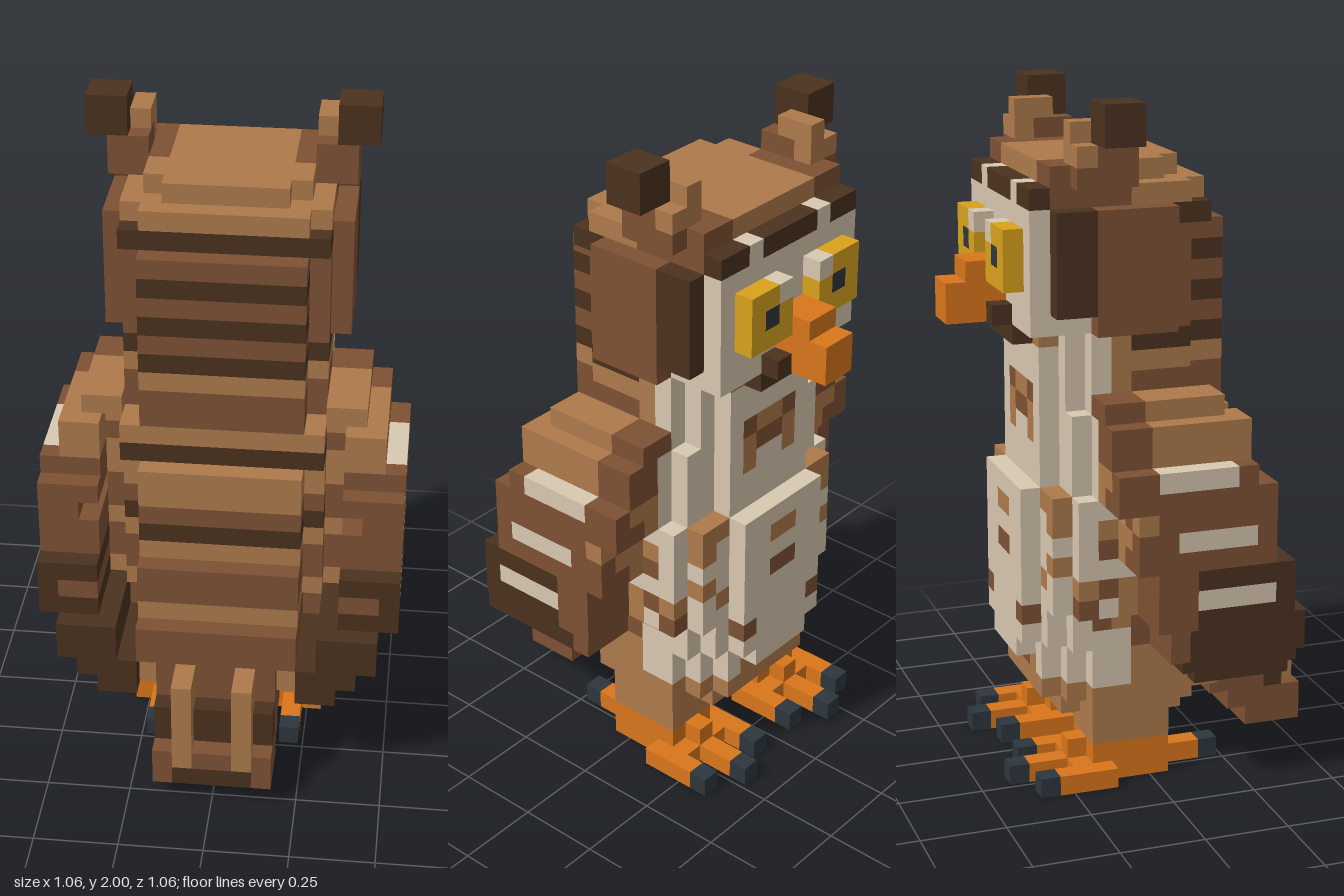
import * as THREE from 'three';

const U = 2 / 34; // size of one block

const COLORS = {
  brown: 0x7e5134, tan: 0xae7a4b, darkBrown: 0x4b321f, cream: 0xd8c8b0,
  yellow: 0xdaa21c, orange: 0xda761c, slate: 0x2d363e,
};
const LETTER = { b: 'brown', t: 'tan', d: 'darkBrown' };

// Plumage band for each block row, from row 0 upwards
const BANDS = 'tttttttbbtbbtdbttdtbbtdbdbdbdtt';
const band = y => LETTER[BANDS[y]];

// Repeatable speckle value from 0 to 1
function speckle(x, y, z) {
  let h = (x * 374761 + y * 668265 + z * 2147483 + 977) | 0;
  h = Math.imul(h ^ (h >>> 13), 1274126177);
  return ((h ^ (h >>> 16)) >>> 0) / 4294967296;
}

// Half of the bird is stored; cell x = 0 touches the middle and is mirrored later
const cells = new Map();
const key = (x, y, z) => `${x},${y},${z}`;
function put(part, color, x, y, z) {
  const c = typeof color === 'function' ? color(x, y, z) : color;
  cells.set(key(x, y, z), { part, color: c, x, y, z });
}
// Ends are exclusive
function box(part, color, x0, x1, y0, y1, z0, z1) {
  for (let x = x0; x < x1; x++)
    for (let y = y0; y < y1; y++)
      for (let z = z0; z < z1; z++) put(part, color, x, y, z);
}
// One row with a rounded-square outline; n sets how square it is
function layer(part, color, y, half, z0, z1, n) {
  const mid = (z0 + z1) / 2, r = (z1 - z0) / 2;
  for (let x = 0; x < half; x++)
    for (let z = z0; z < z1; z++) {
      const d = ((x + 0.5) / half) ** n + (Math.abs(z + 0.5 - mid) / r) ** n;
      if (d <= 1) put(part, color, x, y, z);
    }
}

function plumage(x, y, z) {
  const s = speckle(x, y, z);
  if (z < -2 && y > 4) return s < 0.08 ? 'brown' : s < 0.16 ? 'tan' : 'cream';
  if (z === -2 && y > 4) return s < 0.45 ? 'cream' : 'tan';
  const c = band(y);
  return c === 'darkBrown' && x > 4 ? 'brown' : c;
}

function wingColor(x, y, z) {
  if (x === 8) {
    // pale bars that step back down the wing
    if (y === 16 && z >= -1 && z < 3) return 'cream';
    if (y === 13 && z >= 0 && z < 4) return 'cream';
    if (y === 10 && z >= 1 && z < 5) return 'cream';
  }
  if (y >= 17) return z < -1 ? 'brown' : 'tan';
  if (y >= 12) return z < -1 && speckle(x, y, z) < 0.5 ? 'tan' : 'brown';
  if (y === 10 && x < 8) return 'brown';
  return z < 1 ? 'brown' : 'darkBrown';
}

function buildBody() {
  // [first row, last row, half width, front z, back z]
  const rows = [
    [3, 3, 4, -4, 3], [4, 4, 5, -5, 4], [5, 6, 5, -5, 6], [7, 8, 5, -6, 7],
    [9, 11, 6, -6, 6], [12, 14, 6, -6, 5], [15, 16, 6, -5, 5],
    [17, 18, 6, -5, 4], [19, 22, 5, -5, 4],
  ];
  for (const [a, b, half, z0, z1] of rows) {
    for (let y = a; y <= b; y++) layer('body', plumage, y, half, z0, Math.min(z1, 4), 2.5);
    // banded back
    box('back', plumage, 0, half - (z1 > 4 ? 1 : 2) > 4 ? 4 : half - 1, a, b + 1, 2, z1);
  }
  // belly bulge
  box('body', plumage, 0, 2, 6, 15, -6, -5);
}

function buildWings() {
  // [first row, last row, inner x, outer x, front z, back z]
  const rows = [
    [19, 19, 5, 7, -3, 3], [17, 18, 6, 8, -3, 4], [16, 16, 6, 9, -3, 4],
    [15, 15, 6, 9, -3, 5], [14, 14, 7, 9, -2, 5], [12, 13, 6, 9, -2, 5],
    [9, 11, 6, 9, -1, 6], [7, 8, 5, 8, 0, 7], [6, 6, 4, 7, 1, 7], [5, 5, 4, 6, 2, 7],
  ];
  for (const [a, b, x0, x1, z0, z1] of rows) box('wings', wingColor, x0, x1, a, b + 1, z0, z1);
}

function buildTail() {
  box('tail', 'brown', 0, 3, 3, 7, 4, 7);
  box('tail', 'brown', 0, 3, 2, 3, 5, 9);
  box('tail', 'brown', 0, 3, 1, 2, 6, 9);
  box('tail', 'darkBrown', 0, 2, 1, 2, 8, 9);
  // sunken vanes either side of two long ridges
  box('tail', 'darkBrown', 0, 3, 3, 5, 7, 8);
  box('tail', 'tan', 1, 2, 2, 7, 7, 9);
}

function buildHead() {
  const headColor = (x, y, z) => (z >= 2 || y > 28 ? band(y) : 'brown');
  for (let y = 23; y < 29; y++) layer('head', headColor, y, 5, -5, 3, 3.2);
  layer('head', headColor, 29, 5, -5, 3, 3.2);
  layer('head', headColor, 30, 4, -5, 2, 3.2);
  // banded nape
  box('nape', band && ((x, y) => band(y)), 0, 4, 23, 28, 2, 4);
  box('nape', 'darkBrown', 0, 5, 28, 29, 1, 3);
  // cheeks
  box('cheeks', 'brown', 4, 6, 23, 29, -3, 1);
  box('cheeks', 'darkBrown', 4, 6, 24, 29, -5, -3);
  // pale face with dark brows
  box('face', 'cream', 0, 5, 23, 29, -6, -5);
  box('face', 'cream', 0, 5, 23, 24, -5, -3);
  box('brows', 'darkBrown', 0, 5, 29, 30, -6, -5);
  put('brows', 'cream', 2, 29, -6);
  box('brows', 'cream', 1, 3, 29, 30, -5, -4);
  box('chin', 'darkBrown', 0, 2, 22, 23, -6, -5);
  box('chin', 'darkBrown', 0, 2, 23, 24, -7, -6);
  // eyes
  box('eyes', 'yellow', 1, 4, 25, 28, -7, -6);
  put('eyes', 'cream', 1, 27, -7);
  put('eyes', 'slate', 2, 26, -7);
  // beak
  box('beak', 'orange', 0, 1, 23, 25, -9, -7);
  box('beak', 'orange', 0, 1, 24, 26, -8, -6);
  // ear tufts
  box('earTufts', 'brown', 3, 5, 29, 31, -5, -1);
  box('earTufts', 'brown', 4, 6, 30, 32, -4, -1);
  box('earTufts', 'tan', 4, 6, 31, 32, -4, -3);
  box('earTufts', 'tan', 4, 5, 32, 33, -4, -2);
  box('earTufts', 'darkBrown', 5, 7, 32, 34, -3, -1);
}

function buildLegs() {
  box('legs', 'tan', 2, 5, 2, 4, -3, 1);
  box('feet', 'orange', 2, 5, 1, 2, -3, 1);
  box('feet', 'orange', 3, 4, 1, 2, -4, -3);
  box('feet', 'orange', 2, 5, 0, 1, -4, 1);
  // three front toes, one back toe, each with a claw
  for (const [x, tip] of [[1, -5], [3, -6], [5, -5]]) {
    box('feet', 'orange', x, x + 1, 0, 1, tip, -2);
    put('claws', 'slate', x, 0, tip - 1);
  }
  box('feet', 'orange', 3, 4, 0, 1, 1, 3);
  put('claws', 'slate', 3, 0, 3);
}

// Outward direction, then the four corners counter-clockwise
const FACES = [
  [[1, 0, 0], [[1, 0, 1], [1, 0, 0], [1, 1, 0], [1, 1, 1]]],
  [[-1, 0, 0], [[0, 0, 0], [0, 0, 1], [0, 1, 1], [0, 1, 0]]],
  [[0, 1, 0], [[0, 1, 1], [1, 1, 1], [1, 1, 0], [0, 1, 0]]],
  [[0, -1, 0], [[0, 0, 0], [1, 0, 0], [1, 0, 1], [0, 0, 1]]],
  [[0, 0, 1], [[0, 0, 1], [1, 0, 1], [1, 1, 1], [0, 1, 1]]],
  [[0, 0, -1], [[1, 0, 0], [0, 0, 0], [0, 1, 0], [1, 1, 0]]],
];

export function createModel() {
  cells.clear();
  for (const build of [buildBody, buildWings, buildTail, buildHead, buildLegs]) build();

  const filled = (x, y, z) => cells.has(key(x < 0 ? -1 - x : x, y, z));
  const parts = {};
  for (const { part, color, x: half, y, z } of cells.values()) {
    const out = ((parts[part] ??= {})[color] ??= { pos: [], nor: [], idx: [] });
    for (const x of [half, -1 - half])
      for (const [n, corners] of FACES) {
        if (filled(x + n[0], y + n[1], z + n[2])) continue;
        const s = out.pos.length / 3;
        for (const c of corners) {
          out.pos.push((x + c[0]) * U, (y + c[1]) * U, (z + c[2]) * U);
          out.nor.push(...n);
        }
        out.idx.push(s, s + 1, s + 2, s, s + 2, s + 3);
      }
  }
  const materials = {};
  for (const [name, color] of Object.entries(COLORS)) {
    materials[name] = new THREE.MeshStandardMaterial({ color });
    materials[name].name = name;
  }
  const model = new THREE.Group();
  model.name = 'owl';
  for (const [part, byColor] of Object.entries(parts)) {
    const group = new THREE.Group();
    group.name = part;
    for (const [color, { pos, nor, idx }] of Object.entries(byColor)) {
      if (!idx.length) continue;
      const g = new THREE.BufferGeometry();
      g.setAttribute('position', new THREE.Float32BufferAttribute(pos, 3));
      g.setAttribute('normal', new THREE.Float32BufferAttribute(nor, 3));
      g.setIndex(idx);
      const mesh = new THREE.Mesh(g, materials[color]);
      mesh.name = `${part} ${color}`;
      group.add(mesh);
    }
    model.add(group);
  }
  return model;
}
